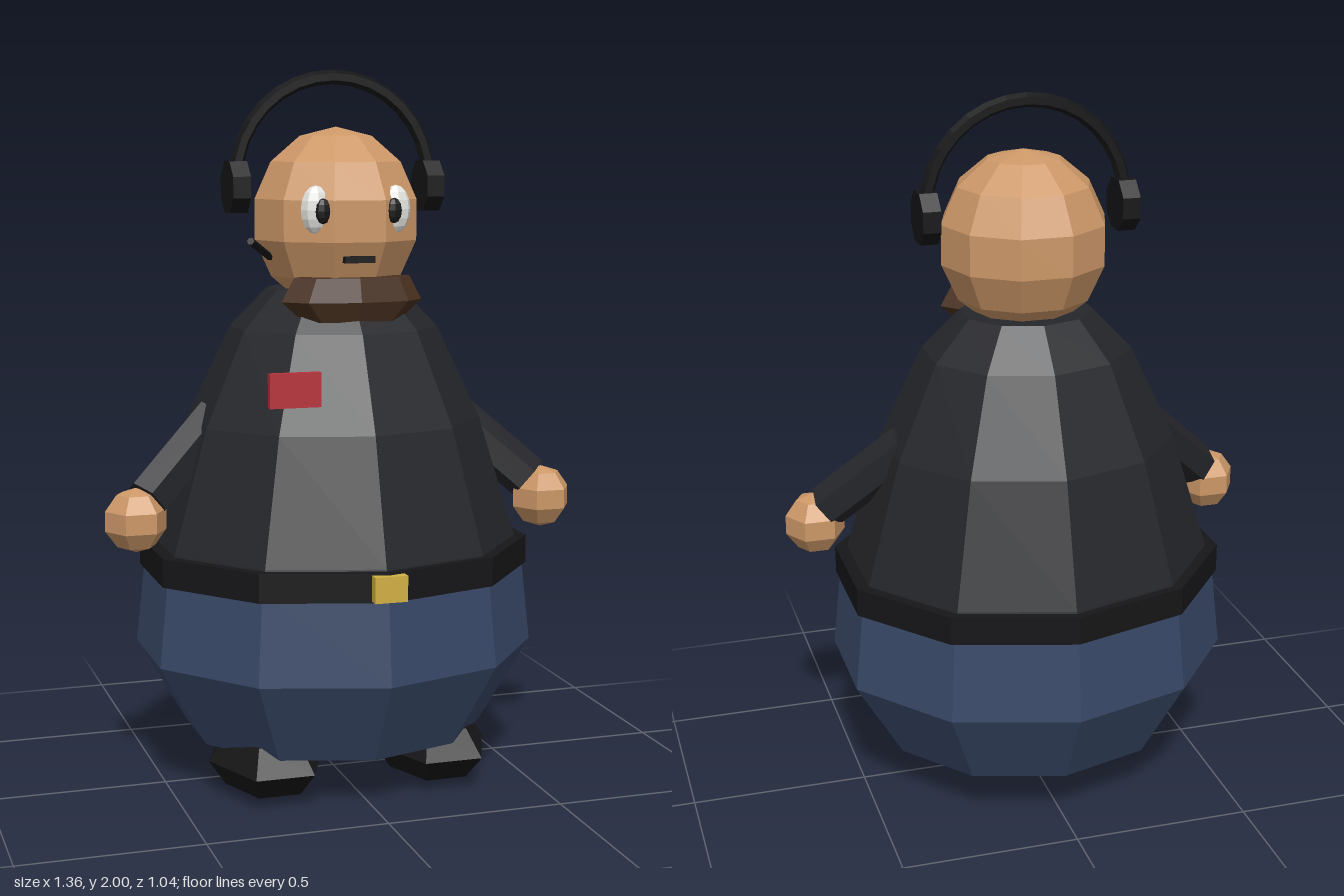
import * as THREE from 'three';

const COLORS = {
  skin: 0xcd9868, shirt: 0x25262a, trousers: 0x384867, black: 0x161618,
  brown: 0x4a3120, gold: 0xd2b044, red: 0xb8323c, white: 0xe4e4e0,
};

export function createModel() {
  const root = new THREE.Group();
  const mats = {};
  for (const key in COLORS) {
    mats[key] = new THREE.MeshStandardMaterial({ color: COLORS[key], flatShading: true });
  }

  const add = (name, geometry, mat, pos = [0, 0, 0], scale = [1, 1, 1]) => {
    const mesh = new THREE.Mesh(geometry, mats[mat]);
    mesh.name = name;
    mesh.position.set(...pos);
    mesh.scale.set(...scale);
    root.add(mesh);
    return mesh;
  };
  const lathe = (points, sides) =>
    new THREE.LatheGeometry(points.map(([r, y]) => new THREE.Vector2(r, y)), sides);
  // straight rod between two points
  const rod = (name, from, to, radius, sides, mat) => {
    const a = new THREE.Vector3(...from), b = new THREE.Vector3(...to);
    const dir = b.clone().sub(a);
    const mesh = add(name, new THREE.CylinderGeometry(radius, radius, dir.length(), sides), mat);
    mesh.position.copy(a).add(b).multiplyScalar(0.5);
    mesh.quaternion.setFromUnitVectors(new THREE.Vector3(0, 1, 0), dir.normalize());
    return mesh;
  };

  // ten-sided body, slightly wider than deep
  const wide = [1.1, 1, 1];
  add('trousers', lathe([[0, 0.14], [0.39, 0.14], [0.52, 0.38], [0.495, 0.63], [0, 0.63]], 10),
    'trousers', [0, 0, 0], wide);
  add('shirt', lathe([[0, 0.62], [0.49, 0.62], [0.475, 0.69], [0.38, 1.03], [0.268, 1.29], [0.17, 1.4], [0, 1.4]], 10),
    'shirt', [0, 0, 0], wide);
  add('belt', new THREE.CylinderGeometry(0.5, 0.5, 0.08, 10), 'black', [0, 0.645, 0], [1.12, 1, 1]);
  add('buckle', new THREE.BoxGeometry(0.09, 0.07, 0.035), 'gold', [0, 0.645, 0.5]);
  add('badge', new THREE.BoxGeometry(0.14, 0.092, 0.022), 'red', [-0.217, 1.16, 0.358]);

  // head and face
  add('head', new THREE.SphereGeometry(0.24, 10, 7), 'skin', [0, 1.592, 0.025], [1, 1.05, 0.99]);
  add('beard', lathe([[0, 1.315], [0.14, 1.32], [0.2, 1.375], [0.165, 1.44], [0, 1.44]], 8),
    'brown', [0, 0, 0.175], [1, 1, 0.43]);
  add('mouth', new THREE.BoxGeometry(0.085, 0.018, 0.03), 'black', [0, 1.49, 0.232]);

  // headset
  add('headband', new THREE.TorusGeometry(0.28, 0.02, 6, 16, Math.PI), 'black', [0, 1.7, 0]);
  rod('microphone', [-0.2, 1.49, 0.06], [-0.305, 1.545, 0.25], 0.01, 6, 'black');

  for (const side of [-1, 1]) {
    const label = side > 0 ? 'left' : 'right';
    add(label + 'Eye', new THREE.SphereGeometry(0.042, 8, 8), 'white', [side * 0.113, 1.623, 0.207], [1, 1.55, 0.7]);
    add(label + 'Pupil', new THREE.SphereGeometry(0.023, 8, 6), 'black', [side * 0.1, 1.62, 0.232], [1, 1.5, 0.5]);

    const cup = new THREE.CylinderGeometry(0.076, 0.076, 0.05, 8);
    cup.rotateY(Math.PI / 8).rotateZ(Math.PI / 2);
    add(label + 'EarCup', cup, 'black', [side * 0.28, 1.68, 0]);

    rod(label + 'Arm', [side * 0.345, 1.04, -0.01], [side * 0.56, 0.84, 0.095], 0.065, 6, 'shirt');
    add(label + 'Hand', new THREE.SphereGeometry(0.089, 6, 5), 'skin', [side * 0.595, 0.788, 0.11]);

    add(label + 'Shoe', new THREE.SphereGeometry(1, 6, 4), 'black', [side * 0.243, 0.1, 0.145], [0.165, 0.1, 0.237]);
  }
  return root;
}
